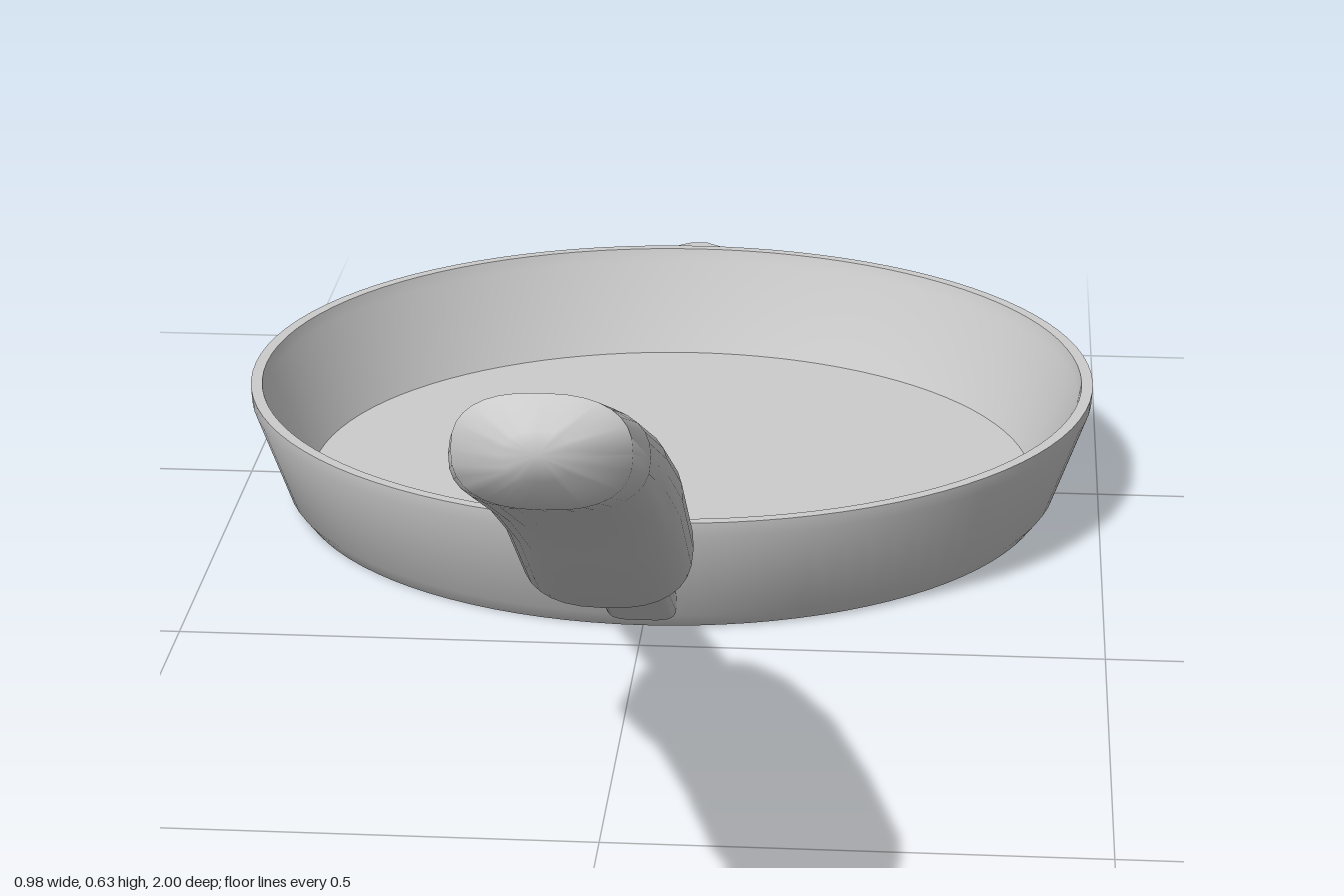
import * as THREE from 'three';
import { toCreasedNormals } from 'three/addons/utils/BufferGeometryUtils.js';

// Loft of rounded cross-sections. Each section: [topZ, topY, bottomZ, bottomY, halfWidth]
function loft(sections, { centerX = 0, power = 2, sides = 32, tip = null, crease = 0.7 }) {
  const pos = [], idx = [];
  const round = v => Math.sign(v) * Math.pow(Math.abs(v), 2 / power);
  for (const [tz, ty, bz, by, hw] of sections) {
    for (let j = 0; j < sides; j++) {
      const a = (j / sides) * Math.PI * 2;
      const s = (round(Math.sin(a)) + 1) / 2;
      pos.push(centerX + hw * round(Math.cos(a)), by + (ty - by) * s, bz + (tz - bz) * s);
    }
  }
  const last = sections.length - 1;
  for (let i = 0; i < last; i++) {
    for (let j = 0; j < sides; j++) {
      const k = (j + 1) % sides;
      const a = i * sides + j, b = i * sides + k;
      idx.push(a, b, b + sides, a, b + sides, a + sides);
    }
  }
  // End caps
  const mid = ([tz, ty, bz, by]) => [centerX, (ty + by) / 2, (tz + bz) / 2];
  const start = pos.length / 3;
  pos.push(...mid(sections[0]), ...(tip || mid(sections[last])));
  for (let j = 0; j < sides; j++) {
    const k = (j + 1) % sides;
    idx.push(start, k, j, start + 1, last * sides + j, last * sides + k);
  }
  const g = new THREE.BufferGeometry();
  g.setAttribute('position', new THREE.Float32BufferAttribute(pos, 3));
  g.setIndex(idx);
  return toCreasedNormals(g, crease);
}

export function createModel() {
  const group = new THREE.Group();
  group.name = 'fryingPan';
  const metal = new THREE.MeshStandardMaterial({ color: 0xcccccc });
  metal.name = 'light grey';
  const add = (name, geometry) => {
    const mesh = new THREE.Mesh(geometry, metal);
    mesh.name = name;
    group.add(mesh);
    return mesh;
  };

  // Dish: base, flared wall, rim, inner wall and floor
  const profile = [
    [0, 0], [0.436, 0], [0.45, 0.018], [0.489, 0.124], [0.49, 0.14],
    [0.477, 0.14], [0.473, 0.125], [0.422, 0.02], [0, 0.02],
  ].map(([r, y]) => new THREE.Vector2(r, y));
  const dish = add('dish', toCreasedNormals(new THREE.LatheGeometry(profile, 96), 0.35));
  dish.position.z = -0.493;

  // Small pointed lip at the back of the rim
  const lip = new THREE.Shape();
  lip.moveTo(-0.04, 0.975);
  lip.lineTo(0.04, 0.975);
  lip.lineTo(0.01, 1.0);
  lip.lineTo(-0.01, 1.0);
  const lipGeo = new THREE.ExtrudeGeometry(lip, { depth: 0.018, bevelEnabled: false });
  lipGeo.rotateX(-Math.PI / 2);
  add('rimLip', lipGeo).position.y = 0.121;

  // Stem joining dish and grip
  add('handleStem', loft([
    [-0.035, 0.058, -0.035, 0.015, 0.038],
    [0.25, 0.218, 0.25, 0.182, 0.038],
  ], { power: 4 }));

  // Curved grip
  add('handleGrip', loft([
    [0.22, 0.245, 0.22, 0.165, 0.06],
    [0.28, 0.288, 0.35, 0.185, 0.086],
    [0.46, 0.405, 0.53, 0.308, 0.087],
    [0.66, 0.5, 0.71, 0.405, 0.087],
    [0.88, 0.592, 0.91, 0.5, 0.087],
    [0.96, 0.626, 0.962, 0.522, 0.077],
    [0.99, 0.603, 0.99, 0.558, 0.03],
  ], { centerX: -0.007, power: 2.5, tip: [-0.007, 0.585, 1.0], crease: 0.9 }));

  return group;
}
